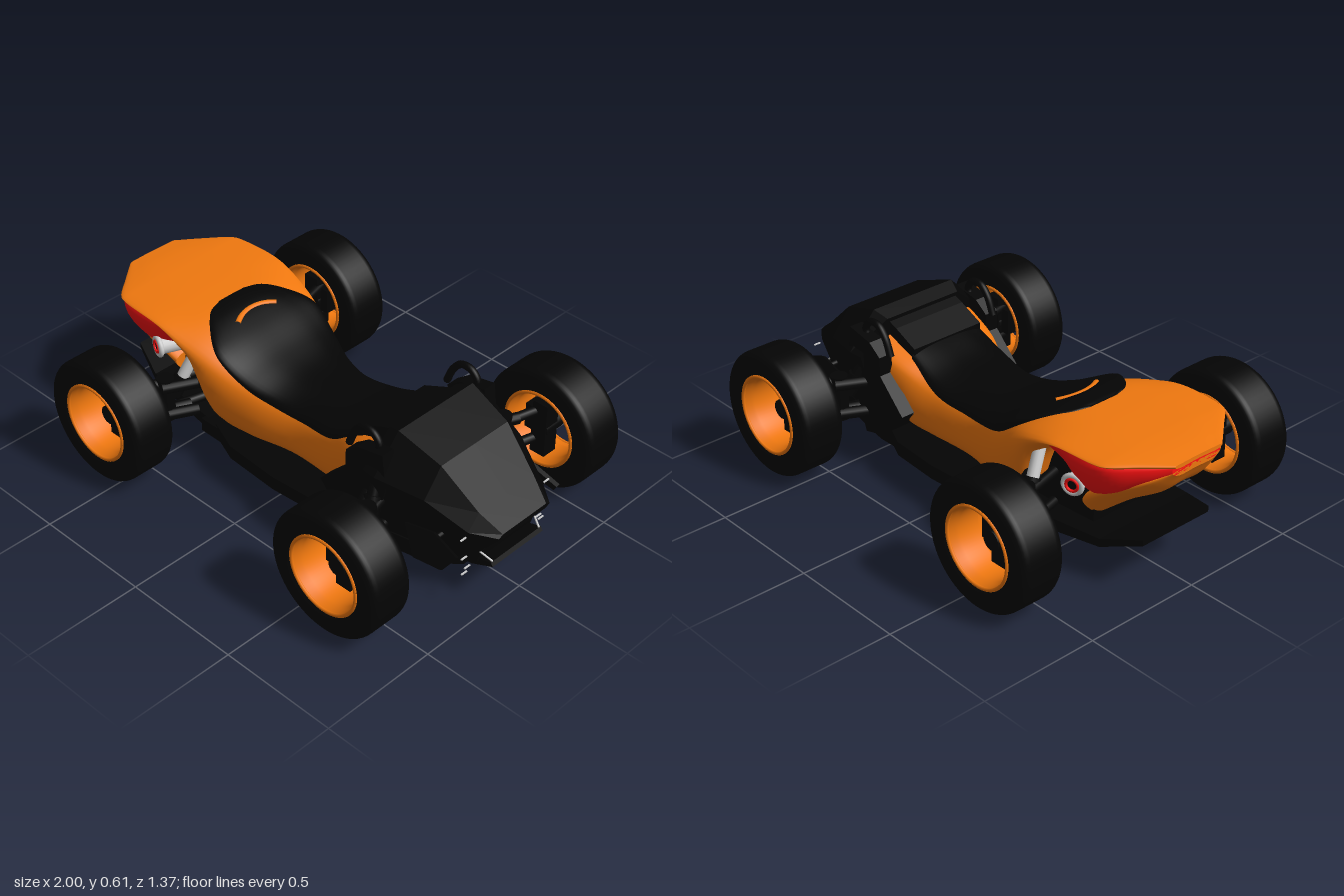
import * as THREE from 'three';

const V = (x, y, z) => new THREE.Vector3(x, y, z);
const mat = (color, extra = {}) => new THREE.MeshStandardMaterial({ color, ...extra });
const black = mat(0x040404), flatBlack = mat(0x040404, { flatShading: true, side: THREE.DoubleSide });
const tyreBlack = mat(0x040404, { side: THREE.DoubleSide });
const orange = mat(0xf0780f), orangeRim = mat(0xf0780f, { side: THREE.DoubleSide });
const red = mat(0xff1212), grey = mat(0xcccccc);

// Skin a body through half cross-sections [[x, [y, z]...]...], top centre to bottom centre
function loft(stations, smooth) {
  const mirror = pts => pts.concat(pts.slice(1, -1).reverse().map(p => V(p.x, p.y, -p.z)));
  let rings = stations.map(([x, ...p]) => mirror(p.map(([y, z]) => V(x, y, z))));
  if (smooth) {
    const tracks = rings[0].map((_, k) => new THREE.CatmullRomCurve3(rings.map(r => r[k])));
    const rows = (stations.length - 1) * 6;
    rings = Array.from({ length: rows + 1 }, (_, i) =>
      new THREE.CatmullRomCurve3(tracks.map(c => c.getPoint(i / rows)), true).getPoints(48).slice(0, 48));
  }
  const n = rings[0].length, pos = [], idx = [];
  rings.forEach(r => r.forEach(p => pos.push(p.x, p.y, p.z)));
  for (let i = 0; i < rings.length - 1; i++) for (let j = 0; j < n; j++) {
    const a = i * n + j, c = i * n + (j + 1) % n;
    idx.push(a, c, a + n, c, c + n, a + n);
  }
  // End caps
  [rings[0], rings[rings.length - 1]].forEach((r, end) => {
    const base = pos.length / 3;
    const mid = r.reduce((s, p) => s.add(p), V(0, 0, 0)).divideScalar(n);
    [mid, ...r].forEach(p => pos.push(p.x, p.y, p.z));
    for (let j = 0; j < n; j++) {
      const a = base + 1 + j, b = base + 1 + (j + 1) % n;
      idx.push(base, end ? a : b, end ? b : a);
    }
  });
  const g = new THREE.BufferGeometry();
  g.setAttribute('position', new THREE.Float32BufferAttribute(pos, 3));
  g.setIndex(idx);
  g.computeVertexNormals();
  return g;
}

// Rounded shell section and flat plate section from a few sizes
const shell = ([x, top, yEdge, w, yBot, wBot]) =>
  [x, [top, 0], [top - 0.18 * (top - yEdge), w * 0.6], [yEdge, w], [yBot, wBot], [yBot, 0]];
const plate = ([x, top, bot, w]) => [x, [top, 0], [top, w], [bot, w], [bot, 0]];

// Side outline (x, y) extruded across z0..z1
function slab(outline, z0, z1) {
  const s = new THREE.Shape(outline.map(p => new THREE.Vector2(...p)));
  return new THREE.ExtrudeGeometry(s, { depth: z1 - z0, bevelEnabled: false }).translate(0, 0, z0);
}

export function createModel() {
  const model = new THREE.Group();
  const add = (name, geo, material, parent = model) => {
    const m = new THREE.Mesh(geo, material);
    m.name = name;
    parent.add(m);
    return m;
  };
  const rod = (name, a, b, r, material, parent) => {
    const d = b.clone().sub(a);
    const m = add(name, new THREE.CylinderGeometry(r, r, d.length(), 14), material, parent);
    m.position.copy(a).addScaledVector(d, 0.5);
    m.quaternion.setFromUnitVectors(V(0, 1, 0), d.normalize());
  };
  const box = (name, size, at, material, parent) =>
    add(name, new THREE.BoxGeometry(...size), material, parent).position.set(...at);

  // Tail deck flowing into the waisted tub
  add('bodyShell', loft([
    [-1, 0.555, 0.55, 0.12, 0.54, 0.11], [-0.92, 0.565, 0.553, 0.215, 0.541, 0.2],
    [-0.84, 0.57, 0.553, 0.305, 0.54, 0.285], [-0.8, 0.571, 0.552, 0.318, 0.538, 0.295],
    [-0.6, 0.57, 0.545, 0.328, 0.53, 0.3], [-0.46, 0.56, 0.5, 0.32, 0.43, 0.27],
    [-0.35, 0.525, 0.45, 0.3, 0.2, 0.25], [-0.2, 0.455, 0.36, 0.24, 0.17, 0.225],
    [0, 0.405, 0.3, 0.182, 0.17, 0.185], [0.2, 0.42, 0.33, 0.19, 0.17, 0.19],
    [0.35, 0.46, 0.41, 0.235, 0.2, 0.22], [0.5, 0.51, 0.46, 0.26, 0.3, 0.23]].map(shell), true), orange);
  add('tailBelly', loft([
    [-0.99, 0.525, 0.518, 0.12, 0.5, 0.09], [-0.93, 0.5, 0.48, 0.19, 0.415, 0.1],
    [-0.8, 0.45, 0.41, 0.25, 0.33, 0.13], [-0.64, 0.33, 0.29, 0.21, 0.2, 0.13]].map(shell), true), orange);
  add('tailBand', loft([
    [-0.99, 0.548, 0.542, 0.118, 0.512, 0.115], [-0.92, 0.555, 0.54, 0.205, 0.475, 0.19],
    [-0.82, 0.558, 0.54, 0.3, 0.415, 0.25], [-0.68, 0.558, 0.535, 0.31, 0.35, 0.215],
    [-0.6, 0.555, 0.53, 0.3, 0.4, 0.2], [-0.48, 0.55, 0.52, 0.29, 0.48, 0.23]].map(shell), true), red);

  // Saddle-like seat with headrest trim
  add('seat', loft([
    [-0.525, 0.57, 0.566, 0.07], [-0.5, 0.574, 0.56, 0.14], [-0.43, 0.566, 0.54, 0.205],
    [-0.33, 0.532, 0.5, 0.262], [-0.2, 0.472, 0.42, 0.243], [-0.08, 0.438, 0.375, 0.203],
    [0.05, 0.43, 0.36, 0.18], [0.2, 0.44, 0.38, 0.192], [0.36, 0.485, 0.46, 0.175]
  ].map(([x, t, e, w]) => [x, [t, 0], [t - 0.2 * (t - e), w * 0.62], [e, w], [e - 0.04, w * 0.9], [e - 0.05, 0]]), true), black);
  const trim = add('headrestTrim', new THREE.TorusGeometry(0.17, 0.011, 8, 20, 1.3), orange);
  trim.geometry.rotateZ(Math.PI - 0.65).rotateX(Math.PI / 2).scale(1, 0.6, 1);
  trim.rotation.z = -0.25;
  trim.position.set(-0.25, 0.518, 0);

  // Faceted nose and dashboard
  add('nose', loft([
    [0.5, 0.57, 0.18, 0.45, 0.32, 0.12, 0.24], [0.56, 0.595, 0.2, 0.45, 0.325, 0.11, 0.24],
    [0.75, 0.53, 0.18, 0.42, 0.265, 0.11, 0.2], [0.91, 0.39, 0.15, 0.33, 0.205, 0.2, 0.16],
    [1, 0.325, 0.12, 0.315, 0.14, 0.305, 0.12]
  ].map(([x, t, wt, m, wm, b, wb]) => [x, [t, 0], [t, wt], [m, wm], [b, wb], [b, 0]]), false), flatBlack);
  add('noseUnderside', slab([[0.75, 0.11], [0.91, 0.15], [0.93, 0.22], [0.9, 0.3], [0.75, 0.3]], -0.15, 0.15), flatBlack);
  add('dashboard', slab([[0.35, 0.42], [0.35, 0.49], [0.46, 0.54], [0.54, 0.57], [0.54, 0.4]], -0.17, 0.17), flatBlack);
  add('splitter', slab([[0.83, 0.12], [0.83, 0.145], [0.97, 0.185], [0.98, 0.17], [0.88, 0.125]], -0.14, 0.14), flatBlack);

  // Floor, running boards and diffuser
  add('floor', loft([[-0.42, 0.16, 0.1, 0.28], [0.44, 0.16, 0.09, 0.28], [0.74, 0.16, 0.09, 0.22],
    [0.86, 0.16, 0.12, 0.16]].map(plate), false), flatBlack);
  add('runningBoards', slab([[-0.35, -0.27], [-0.2, -0.33], [0.05, -0.345], [0.27, -0.33], [0.4, -0.27],
    [0.4, 0.27], [0.27, 0.33], [0.05, 0.345], [-0.2, 0.33], [-0.35, 0.27]], 0, 0.06)
    .rotateX(Math.PI / 2).translate(0, 0.17, 0), flatBlack);
  add('diffuser', loft([[-0.91, 0.225, 0.2, 0.17], [-0.75, 0.18, 0.145, 0.23], [-0.4, 0.16, 0.1, 0.26]].map(plate), false), flatBlack);
  box('engine', [0.3, 0.32, 0.32], [-0.5, 0.3, 0], black);

  // Tyre and rim profiles, revolved about the axle
  const lathe = pts => new THREE.LatheGeometry(pts.map(p => new THREE.Vector2(...p)), 64).rotateX(Math.PI / 2);
  const tyre = new THREE.Shape();
  tyre.moveTo(0.165, -0.085).quadraticCurveTo(0.18, -0.098, 0.22, -0.098).quadraticCurveTo(0.26, -0.097, 0.261, -0.06);
  tyre.lineTo(0.261, 0.06).quadraticCurveTo(0.26, 0.097, 0.22, 0.098).quadraticCurveTo(0.18, 0.098, 0.165, 0.085);
  tyre.lineTo(0.165, -0.085);
  const tyreGeo = lathe(tyre.getPoints(8).map(p => [p.x, p.y]));
  const rimGeo = lathe([[0.166, -0.09], [0.156, -0.085], [0.152, -0.055], [0.143, -0.045], [0.143, 0.045],
    [0.152, 0.055], [0.156, 0.085], [0.166, 0.09]]);
  const lipGeo = new THREE.TorusGeometry(0.159, 0.007, 8, 64);

  for (const s of [1, -1]) {
    const side = s > 0 ? 'left' : 'right';
    // Side pod ahead of the tub
    const [z0, z1] = s > 0 ? [0.245, 0.305] : [-0.305, -0.245];
    add(side + 'SidePod', slab([[0.27, 0.27], [0.4, 0.4], [0.4, 0.48], [0.46, 0.525], [0.58, 0.55], [0.6, 0.4], [0.5, 0.11], [0.38, 0.14]], z0, z1), flatBlack);
    // Lower pod filler tucked under the tub
    add(side + 'PodFiller', slab([[0.29, 0.25], [0.38, 0.34], [0.52, 0.36], [0.52, 0.12], [0.38, 0.14]], s > 0 ? 0.12 : -0.25, s > 0 ? 0.25 : -0.12), flatBlack);
    // Grab hoop
    const hoop = new THREE.CatmullRomCurve3([[0.38, 0.48], [0.41, 0.55], [0.45, 0.59], [0.5, 0.588], [0.53, 0.55], [0.51, 0.5]].map(([x, y]) => V(x, y, s * 0.265)));
    add(side + 'GrabHoop', new THREE.TubeGeometry(hoop, 32, 0.015, 10), black);
    // Nose winglet and thin braces
    const wing = add(side + 'Winglet', slab([[-0.12, 0.04], [0, 0.06], [0.12, 0.02], [0.08, -0.05], [-0.04, -0.06]], -0.008, 0.008), flatBlack);
    wing.rotation.set(s * -0.5, s * 0.1, 0);
    wing.position.set(0.81, 0.26, s * 0.3);
    rod(side + 'WingletStay', V(0.8, 0.27, s * 0.18), V(0.8, 0.265, s * 0.298), 0.012, black);
    rod(side + 'NoseBrace', V(0.91, 0.225, s * 0.155), V(0.97, 0.185, s * 0.13), 0.004, grey);
    for (const [y, z] of [[0.315, 0.23], [0.22, 0.22], [0.165, 0.2], [0.145, 0.215]])
      box(side + 'NoseTrim', [0.006, 0.005, 0.03], [0.91, y, s * z], grey);
    // Exhaust
    rod(side + 'ExhaustPipe', V(-0.6, 0.38, s * 0.1), V(-0.66, 0.39, s * 0.28), 0.036, grey);
    rod(side + 'ExhaustCore', V(-0.64, 0.387, s * 0.2), V(-0.662, 0.39, s * 0.284), 0.027, black);
    const ring = add(side + 'ExhaustRing', new THREE.TorusGeometry(0.036, 0.011, 10, 28), grey);
    ring.position.set(-0.66, 0.39, s * 0.28);
    ring.rotation.y = s * -0.36;
    const core = add(side + 'ExhaustInnerRing', new THREE.TorusGeometry(0.024, 0.006, 8, 24), red);
    core.position.set(-0.663, 0.39, s * 0.287);
    core.rotation.y = s * -0.36;

    for (const [end, x, inner] of [['Rear', -0.59, 0.1], ['Front', 0.65, -0.1]]) {
      // Wheel
      const wheel = new THREE.Group();
      wheel.name = side + end + 'Wheel';
      wheel.position.set(x, 0.261, s * 0.588);
      model.add(wheel);
      add('tyre', tyreGeo, tyreBlack, wheel);
      add('rim', rimGeo, orangeRim, wheel);
      for (const e of [-1, 1]) add('rimLip', lipGeo, orange, wheel).position.z = e * 0.086;
      // Upright and hub
      box('upright', [0.07, 0.24, 0.07], [0, 0, s * -0.05], black, wheel);
      rod('hub', V(0, 0, s * -0.08), V(0, 0, s * 0.02), 0.04, black, wheel);
      box('caliper', [0.04, 0.11, 0.06], [inner * 0.6, 0.02, s * -0.04], black, wheel);
      // Suspension arms with forked inner links
      for (const y of [0.2, 0.33]) {
        rod(side + end + 'Arm', V(x + inner * 0.2, y, s * 0.54), V(x + inner * 1.1, y, s * 0.2), 0.02, black);
        for (const dx of [0, 0.45])
          rod(side + end + 'Link', V(x + inner * (0.45 + dx), y, s * (0.43 - dx * 0.05)), V(x + inner * (1.1 + dx), y, s * 0.28), 0.024, black);
      }
      rod(side + end + 'LinkPost', V(x + inner * 0.75, 0.17, s * 0.375), V(x + inner * 0.75, 0.36, s * 0.375), 0.036, black);
      // Damper
      const lower = V(x + inner * 0.9, 0.28, s * 0.35), upper = V(x + inner * 1.3, 0.46, s * 0.25);
      rod(side + end + 'Damper', lower, upper, 0.024, end === 'Rear' ? grey : black);
      rod(side + end + 'DamperSleeve', lower, lower.clone().lerp(upper, 0.4), 0.034, black);
    }
  }
  return model;
}
